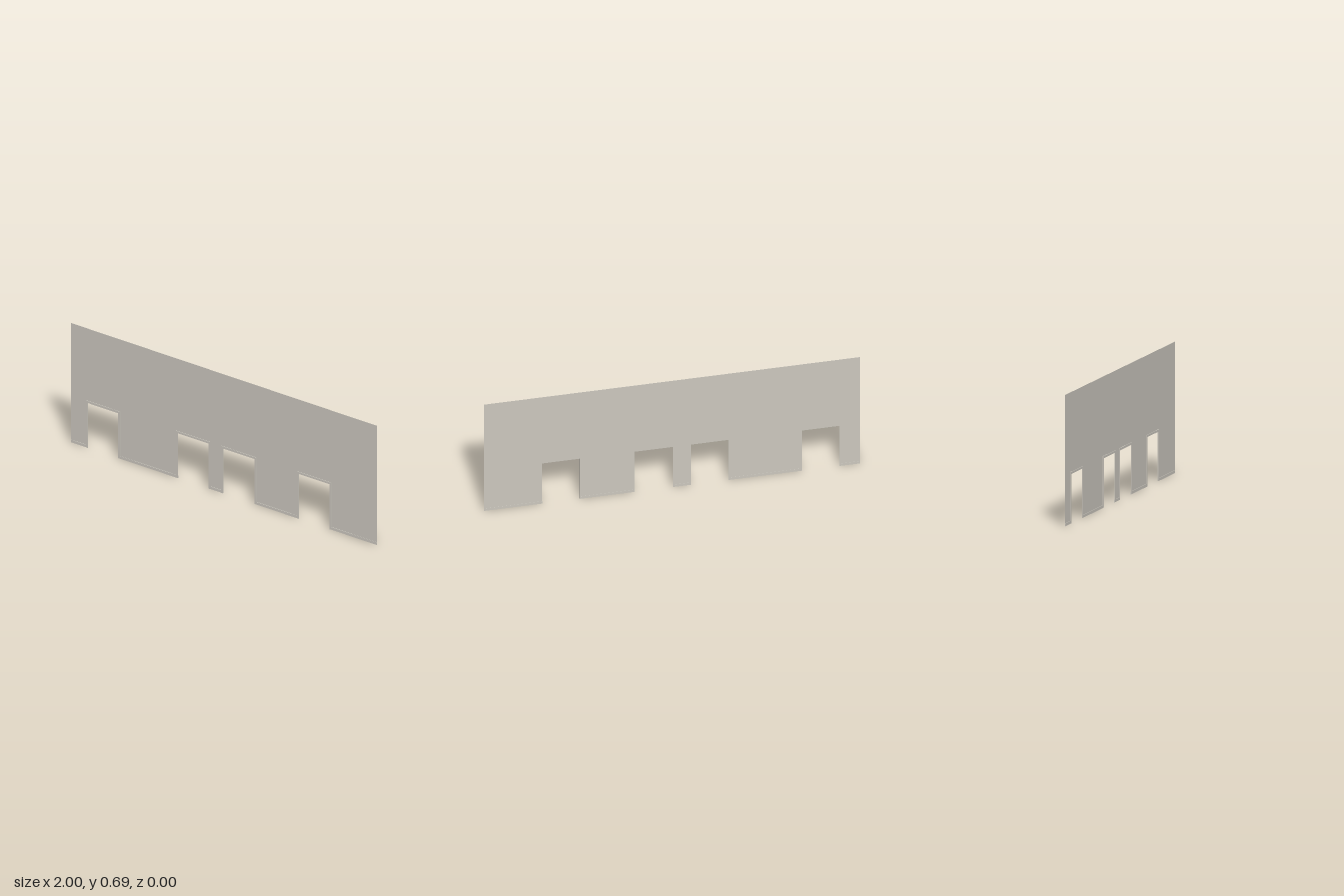
import * as THREE from 'three';

const W = 2, H = 0.69, DOOR_H = 0.26, TRIM = 0.012, SKIRT = 0.015;
// left and right edge of each doorway
const doors = [[-0.89, -0.69], [-0.3, -0.1], [-0.005, 0.2], [0.49, 0.69]];

export function createModel() {
  const group = new THREE.Group();
  const plaster = new THREE.MeshStandardMaterial({ color: 0xcbc7be, side: THREE.DoubleSide });
  plaster.name = 'warm grey plaster';

  const add = (name, geometry) => {
    const mesh = new THREE.Mesh(geometry, plaster);
    mesh.name = name;
    group.add(mesh);
  };
  const bar = (name, x0, x1, y0, y1, z0, z1) => {
    const g = new THREE.BoxGeometry(x1 - x0, y1 - y0, z1 - z0);
    g.translate((x0 + x1) / 2, (y0 + y1) / 2, (z0 + z1) / 2);
    add(name, g);
  };

  // thin wall sheet with doorways cut up from the floor
  const wall = new THREE.Shape();
  wall.moveTo(-W / 2, 0);
  for (const [a, b] of doors) {
    wall.lineTo(a, 0);
    wall.lineTo(a, DOOR_H);
    wall.lineTo(b, DOOR_H);
    wall.lineTo(b, 0);
  }
  wall.lineTo(W / 2, 0);
  wall.lineTo(W / 2, H);
  wall.lineTo(-W / 2, H);
  add('wall', new THREE.ShapeGeometry(wall));

  // flat casing around each doorway
  for (const [a, b] of doors) {
    bar('doorJamb', a - TRIM, a, 0, DOOR_H, 0, 0.003);
    bar('doorJamb', b, b + TRIM, 0, DOOR_H, 0, 0.003);
    bar('doorHead', a - TRIM, b + TRIM, DOOR_H, DOOR_H + TRIM, 0, 0.003);
  }

  // skirting along each stretch of wall between the doorways
  const edges = [-W / 2, ...doors.flat(), W / 2];
  for (let i = 0; i < edges.length; i += 2) {
    bar('skirting', edges[i], edges[i + 1], 0, SKIRT, -0.001, 0.0025);
  }
  return group;
}
